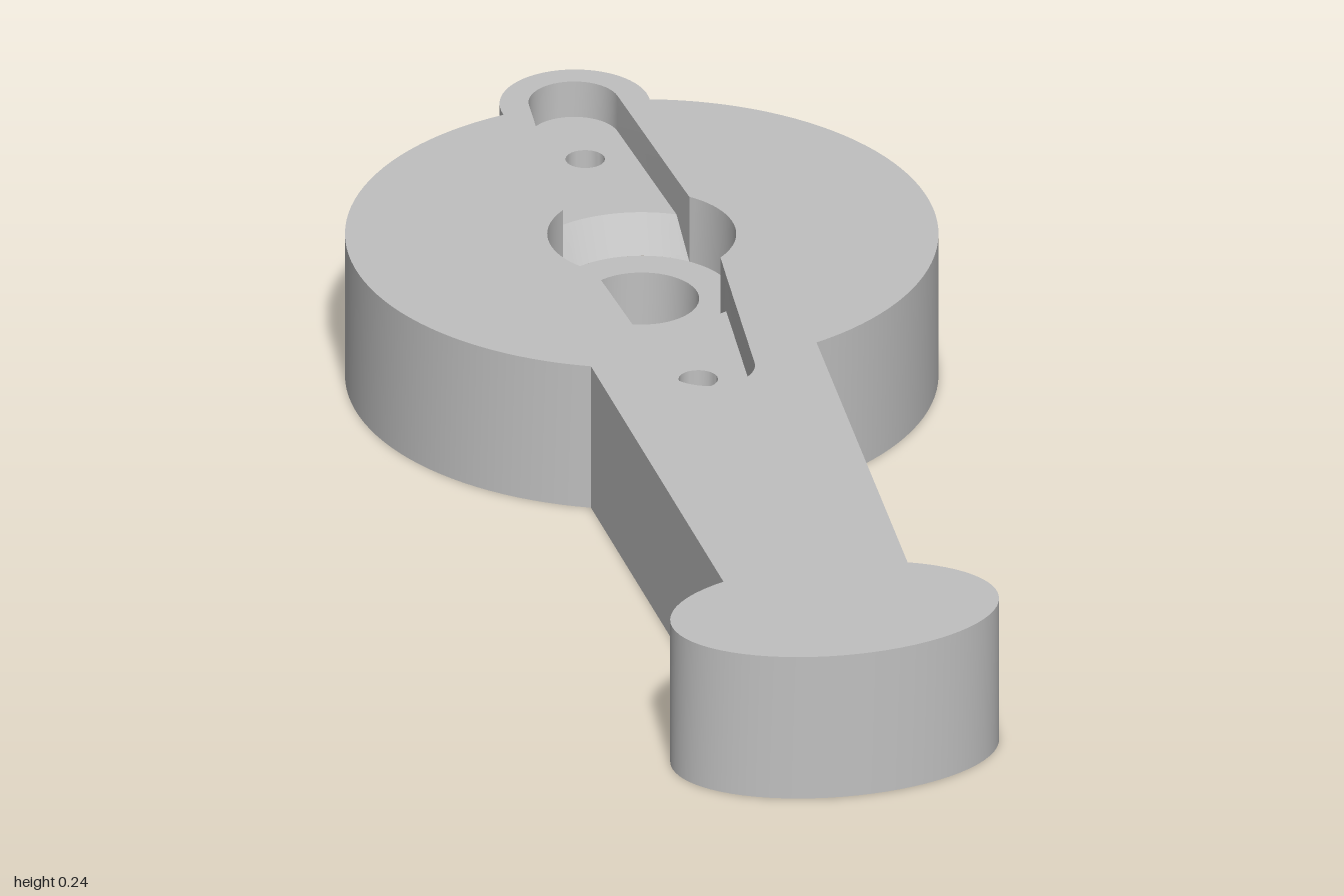
import * as THREE from 'three';
import { toCreasedNormals } from 'three/addons/utils/BufferGeometryUtils.js';

// Plan coordinates are (x, v) with v = -z; heights are y.
const HEIGHT = 0.24, ARM_FLOOR = 0.18, HUB_FLOOR = 0.13, WELL_FLOOR = 0.08;
const HUB_V = 0.44, HUB_R = 0.143, CONE_R = 0.19, BORE_R = 0.087;
const SCREW_U = 0.377, SCREW_R = 0.03;

const vec = (x, y) => new THREE.Vector2(x, y);

// Points along an elliptical arc
function arc(cx, cy, rx, ry, a0, a1, n) {
  return Array.from({ length: n + 1 }, (_, i) => {
    const a = a0 + (a1 - a0) * i / n;
    return vec(cx + rx * Math.cos(a), cy + ry * Math.sin(a));
  });
}
const circle = (cx, cy, r, n) => arc(cx, cy, r, r, 0, Math.PI * 2, n).slice(0, -1);
const turn = pts => pts.map(p => vec(-p.x, -p.y));

// Strip of quads between two rows of 3D points
function strip(low, high) {
  const pos = [];
  for (let i = 0; i < low.length - 1; i++) {
    const [a, b, c, d] = [low[i], low[i + 1], high[i + 1], high[i]];
    for (const p of [a, b, c, a, c, d]) pos.push(p.x, p.y, p.z);
  }
  const g = new THREE.BufferGeometry();
  g.setAttribute('position', new THREE.Float32BufferAttribute(pos, 3));
  g.computeVertexNormals();
  return toCreasedNormals(g, 0.5);
}
const lift = (p, y) => new THREE.Vector3(p.x, y, -p.y);

// Closed vertical wall; faces outward, or inward for a cavity
function wall(pts, bottom, top, inward = false) {
  const loop = [...pts, pts[0]];
  if (inward) loop.reverse();
  const base = typeof bottom === 'function' ? bottom : () => bottom;
  return strip(loop.map(p => lift(p, base(p))), loop.map(p => lift(p, top)));
}

// Flat horizontal face with optional holes
function face(pts, y, holes = [], down = false) {
  const s = new THREE.Shape(pts);
  s.holes = holes.map(h => new THREE.Path(h));
  const g = new THREE.ShapeGeometry(s);
  if (down) {
    const ix = g.index.array;
    for (let i = 0; i < ix.length; i += 3) [ix[i], ix[i + 1]] = [ix[i + 1], ix[i]];
    g.computeVertexNormals();
  }
  return g.rotateX(-Math.PI / 2).translate(0, y, 0);
}

export function createModel() {
  const group = new THREE.Group();
  const grey = new THREE.MeshStandardMaterial({ name: 'grey', color: 0xc0c0c0 });
  const add = (parent, name, geometry) => {
    const m = new THREE.Mesh(geometry, grey);
    m.name = name;
    parent.add(m);
  };
  const shift = pts => pts.map(p => vec(p.x, p.y + HUB_V));

  // Outline: round body, back lug, tapered handle and oval end
  const R = 0.449, lugA = 1.315, gripA = 1.17, knobA = 0.97;
  const outline = [
    ...arc(0, HUB_V, R, R, -gripA, lugA, 48),
    ...arc(0, 0.886, 0.114, 0.114, -0.102, Math.PI + 0.102, 32).slice(1, -1),
    ...arc(0, HUB_V, R, R, Math.PI - lugA, Math.PI + gripA, 48),
    ...arc(0, -0.846, 0.253, 0.154, Math.PI - knobA, Math.PI * 2 + knobA, 56),
  ];

  // Pocket: round hub with two tapered arms, measured from the hub centre
  const a0 = Math.atan2(0.104, 0.098), a1 = Math.atan2(0.1659, 0.0926);
  const coneStart = vec(CONE_R * Math.cos(a1), CONE_R * Math.sin(a1));
  const armTip = arc(0, 0.451, 0.069, 0.069, 0.087, Math.PI - 0.087, 24);
  const arm = [coneStart, ...armTip, vec(-coneStart.x, coneStart.y)];
  const hubSide = arc(0, 0, HUB_R, HUB_R, Math.PI - a0, Math.PI + a0, 20);
  const pocket = [...arm, ...hubSide, ...turn(arm), ...turn(hubSide)];
  const floorAt = p => {
    const t = (Math.hypot(p.x, p.y - HUB_V) - HUB_R) / (CONE_R - HUB_R);
    return THREE.MathUtils.lerp(HUB_FLOOR, ARM_FLOOR, THREE.MathUtils.clamp(t, 0, 1));
  };
  const bore = circle(0, HUB_V, BORE_R, 48);

  const body = new THREE.Group();
  body.name = 'leverBody';
  add(body, 'outerWall', wall(outline, 0, HEIGHT));
  add(body, 'topFace', face(outline, HEIGHT, [shift(pocket)]));
  add(body, 'bottomFace', face(outline, 0, [bore], true));
  group.add(body);

  const recess = new THREE.Group();
  recess.name = 'hornPocket';
  add(recess, 'pocketWall', wall(shift(pocket), floorAt, HEIGHT, true));
  add(recess, 'hubFloor', face(circle(0, HUB_V, HUB_R, 64), HUB_FLOOR, [bore]));
  add(recess, 'shaftBore', wall(bore, 0, HUB_FLOOR, true));
  group.add(recess);

  // Arm floors, conical ramps and blind screw holes, front and back
  for (const side of ['back', 'front']) {
    const place = pts => shift(side === 'front' ? turn(pts) : pts);
    const ramp = (r, a, y) => place(arc(0, 0, r, r, a, Math.PI - a, 20)).map(p => lift(p, y));
    const well = place(circle(0, SCREW_U, SCREW_R, 24));
    const rim = arc(0, 0, CONE_R, CONE_R, Math.PI - a1, a1, 20).slice(1, -1);
    add(recess, side + 'ArmFloor', face(place([...arm, ...rim]), ARM_FLOOR, [well]));
    add(recess, side + 'Ramp', strip(ramp(CONE_R, a1, ARM_FLOOR), ramp(HUB_R, a0, HUB_FLOOR)));
    add(recess, side + 'ScrewHole', wall(well, WELL_FLOOR, ARM_FLOOR, true));
    add(recess, side + 'ScrewHoleFloor', face(well, WELL_FLOOR));
  }
  return group;
}
